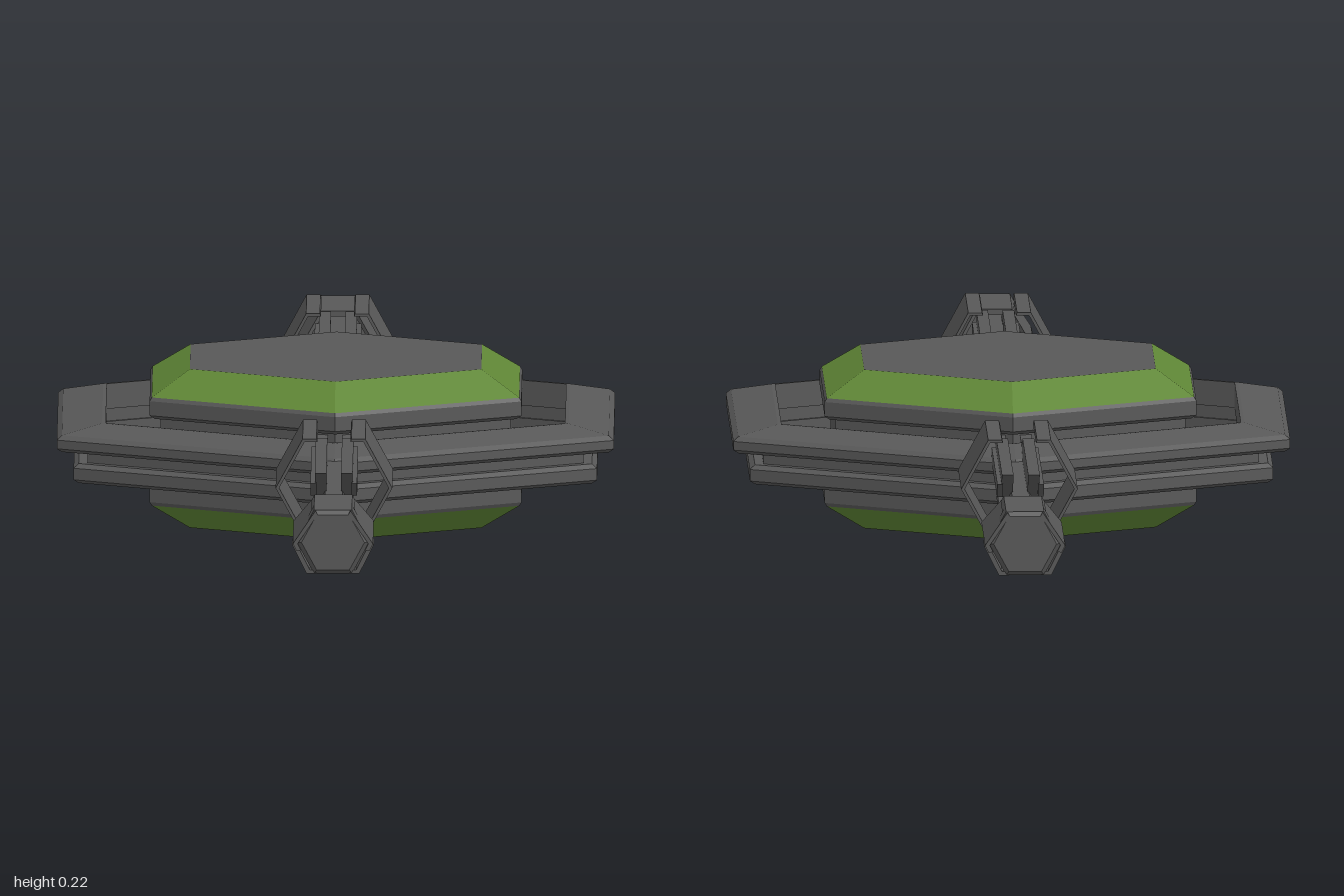
import * as THREE from 'three';

const C30 = Math.cos(Math.PI / 6);
const V = (p) => new THREE.Vector2(p[0], p[1]);

const gray = new THREE.MeshStandardMaterial({ color: 0x585858 });
gray.name = 'gunmetal';
const green = new THREE.MeshStandardMaterial({ color: 0x5f8636 });
green.name = 'olive green';

function mesh(parent, name, geometry, material = gray) {
  // split the vertices so every facet stays flat
  const g = geometry.index ? geometry.toNonIndexed() : geometry;
  g.computeVertexNormals();
  const m = new THREE.Mesh(g, material);
  m.name = name;
  parent.add(m);
  return m;
}

// Hexagonal solid from [flat-side distance, y] points, corners on the z axis
const hexLathe = (pts) => new THREE.LatheGeometry(pts.map(([a, y]) => new THREE.Vector2(a / C30, y)), 6);

// Outline in x,y pushed along z
function alongZ(pts, z0, z1, bevel = 0) {
  return new THREE.ExtrudeGeometry(new THREE.Shape(pts.map(V)), {
    depth: z1 - z0 - 2 * bevel, bevelEnabled: bevel > 0, bevelSize: bevel,
    bevelThickness: bevel, bevelOffset: -bevel, bevelSegments: 1,
  }).translate(0, 0, z0 + bevel);
}

// Outline in z,y given a thickness between x0 and x1
function alongX(pts, x0, x1) {
  return new THREE.ExtrudeGeometry(new THREE.Shape(pts.map(([z, y]) => new THREE.Vector2(-z, y))), {
    depth: x1 - x0, bevelEnabled: false,
  }).rotateY(Math.PI / 2).translate(x0, 0, 0);
}

// Thin folded plate: the outline plus a copy shrunk towards the arm axis
function plate(pts, side, cy, shrink, z0, z1) {
  const inner = pts.map(([x, y]) => [x * shrink, cy + (y - cy) * shrink]).reverse();
  return alongZ([...pts, ...inner].map(([x, y]) => [x * side, y]), z0, z1);
}

function makeArm() {
  const arm = new THREE.Group();
  mesh(arm, 'centreRod', alongZ(
    [[-0.012, 0.14], [-0.02, 0.122], [-0.012, 0.105], [0.012, 0.105], [0.02, 0.122], [0.012, 0.14]], 0.36, 0.95));

  for (const s of [-1, 1]) {
    // rails running out of the core
    const xs = (a, b) => (s > 0 ? [a, b] : [-b, -a]);
    mesh(arm, 'upperRail', alongX(
      [[0.2, 0.125], [0.7, 0.132], [0.75, 0.17], [0.42, 0.17], [0.38, 0.155], [0.2, 0.15]], ...xs(0.01, 0.026)));
    mesh(arm, 'upperRailFlange', alongX(
      [[0.38, 0.135], [0.72, 0.135], [0.74, 0.155], [0.4, 0.155]], ...xs(0.024, 0.032)));
    mesh(arm, 'lowerRail', alongX(
      [[0.2, 0.09], [0.77, 0.09], [0.8, 0.102], [0.2, 0.102]], ...xs(0.01, 0.026)));

    // outer folded shell
    mesh(arm, 'armShell', plate(
      [[0.024, 0.206], [0.043, 0.206], [0.08, 0.138], [0.043, 0.07], [0.026, 0.07]], s, 0.138, 0.94, 0.49, 0.67));

    // tip prong, its free edge cut back towards the top
    const prong = plate([[0.024, 0.156], [0.055, 0.11], [0.05, 0.1]], s, 0.112, 0.88, 0.85, 1);
    const p = prong.attributes.position;
    for (let i = 0; i < p.count; i++) {
      if (p.getZ(i) < 0.9) p.setZ(i, 0.85 - (Math.abs(p.getX(i)) - 0.024) * 2.1);
    }
    mesh(arm, 'tipProng', prong);
    mesh(arm, 'tipBracket', plate(
      [[0.045, 0.122], [0.056, 0.108], [0.036, 0.068], [0.022, 0.068]], s, 0.112, 0.88, 0.94, 0.995));
  }

  // tip: flat roof and hexagonal end cap
  mesh(arm, 'tipRoof', alongZ([[-0.026, 0.156], [-0.03, 0.148], [0.03, 0.148], [0.026, 0.156]], 0.85, 0.99));
  mesh(arm, 'tipCap', alongZ(
    [[-0.026, 0.156], [-0.05, 0.112], [-0.026, 0.068], [0.026, 0.068], [0.05, 0.112], [0.026, 0.156]], 0.94, 1, 0.006));
  return arm;
}

export function createModel() {
  const model = new THREE.Group();
  model.name = 'hexagonalCraft';

  // core: stacked hexagonal bands
  mesh(model, 'bottomPlate', hexLathe([[0, 0], [0.2, 0]]));
  mesh(model, 'lowerGreenBevel', hexLathe([[0.2, 0], [0.252, 0.035]]), green);
  mesh(model, 'coreBody', hexLathe([
    [0.252, 0.035], [0.255, 0.04], [0.255, 0.066], [0.248, 0.073], [0.24, 0.073],
    [0.24, 0.155], [0.248, 0.155], [0.255, 0.16], [0.255, 0.18], [0.252, 0.185]]));
  mesh(model, 'upperGreenBevel', hexLathe([[0.252, 0.185], [0.2, 0.22]]), green);
  mesh(model, 'topPlate', hexLathe([[0.2, 0.22], [0, 0.22]]));

  // two hexagonal rings around the core
  mesh(model, 'upperRing', hexLathe([
    [0.315, 0.12], [0.375, 0.12], [0.382, 0.125], [0.382, 0.137], [0.375, 0.143],
    [0.32, 0.155], [0.315, 0.155], [0.315, 0.12]]));
  mesh(model, 'lowerRing', hexLathe([
    [0.318, 0.075], [0.352, 0.075], [0.359, 0.08], [0.359, 0.096], [0.352, 0.102],
    [0.318, 0.102], [0.318, 0.075]]));
  mesh(model, 'ringSpacer', hexLathe([
    [0.322, 0.1], [0.34, 0.1], [0.34, 0.122], [0.322, 0.122], [0.322, 0.1]]));

  // matching arms front and back
  const front = makeArm();
  front.name = 'frontArm';
  const back = makeArm();
  back.name = 'backArm';
  back.rotation.y = Math.PI;
  model.add(front, back);
  return model;
}
